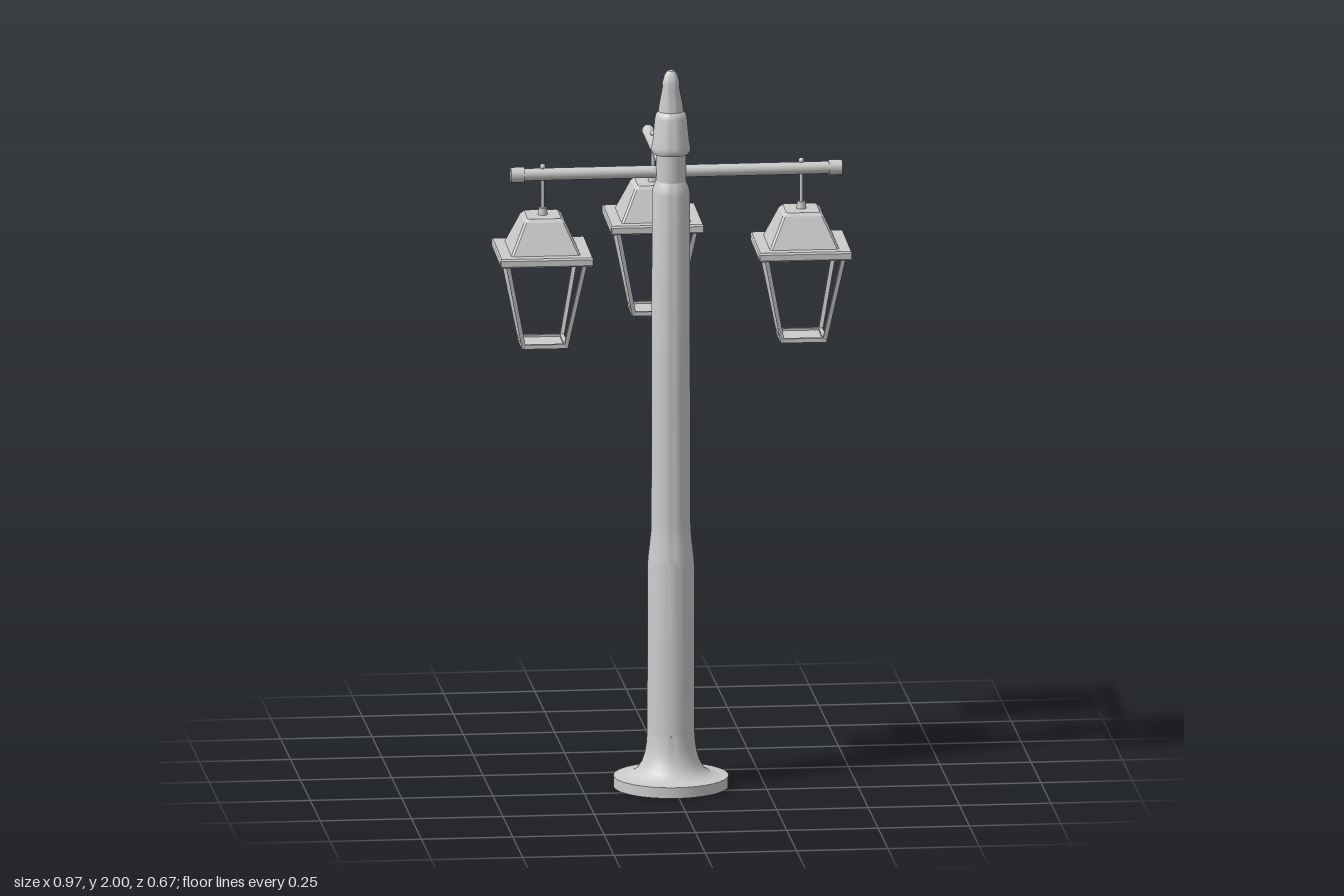
import * as THREE from 'three';
import { toCreasedNormals } from 'three/addons/utils/BufferGeometryUtils.js';

const material = new THREE.MeshStandardMaterial({ color: 0xcccccc });
const openMaterial = new THREE.MeshStandardMaterial({ color: 0xcccccc, side: THREE.DoubleSide });
const UP = new THREE.Vector3(0, 1, 0);

function add(parent, name, geometry, x = 0, y = 0, z = 0, mat = material) {
  const mesh = new THREE.Mesh(geometry, mat);
  mesh.name = name;
  mesh.position.set(x, y, z);
  parent.add(mesh);
  return mesh;
}

function lathe(profile, segments = 40) {
  const points = profile.map(([r, y]) => new THREE.Vector2(r, y));
  return toCreasedNormals(new THREE.LatheGeometry(points, segments), 0.6);
}

// Round or square bar between two points
function rod(parent, name, a, b, radius, sides = 20) {
  const from = new THREE.Vector3(...a), to = new THREE.Vector3(...b);
  const dir = to.clone().sub(from);
  let geometry = new THREE.CylinderGeometry(radius, radius, dir.length(), sides);
  if (sides === 4) {
    geometry.rotateY(Math.PI / 4);
    geometry = toCreasedNormals(geometry, 0.5);
  }
  const mesh = add(parent, name, geometry, ...from.clone().add(to).multiplyScalar(0.5).toArray());
  mesh.quaternion.setFromUnitVectors(UP, dir.normalize());
}

// Solid through rectangular sections [y, width, depth], bottom to top, with chamfered corners
function loft(sections, c) {
  const pos = [], index = [], top = (sections.length - 1) * 8;
  for (const [y, w, d] of sections) {
    const a = w / 2, b = d / 2;
    for (const [x, z] of [[a, b - c], [a - c, b], [c - a, b], [-a, b - c],
      [-a, c - b], [c - a, -b], [a - c, -b], [a, c - b]]) pos.push(x, y, z);
  }
  for (let s = 0; s < top; s += 8) {
    for (let i = 0; i < 8; i++) {
      const p = s + i, q = s + (i + 1) % 8;
      index.push(p, p + 8, q, q, p + 8, q + 8);
    }
  }
  for (let i = 1; i < 7; i++) {
    index.push(0, i, i + 1);
    index.push(top, top + i + 1, top + i);
  }
  const indexed = new THREE.BufferGeometry();
  indexed.setAttribute('position', new THREE.Float32BufferAttribute(pos, 3));
  indexed.setIndex(index);
  const geometry = indexed.toNonIndexed();
  geometry.computeVertexNormals();
  return geometry;
}

function createLantern() {
  const lantern = new THREE.Group();

  // Hanger
  rod(lantern, 'hangerRod', [0, 1.6, 0], [0, 1.735, 0], 0.005, 12);
  add(lantern, 'hangerBall', new THREE.SphereGeometry(0.008, 16, 10), 0, 1.735, 0);
  add(lantern, 'roofKnob', new THREE.CylinderGeometry(0.011, 0.014, 0.022, 16), 0, 1.61, 0);

  // Hood and eaves
  add(lantern, 'roof', loft([[1.505, 0.192, 0.205], [1.593, 0.112, 0.13], [1.602, 0.092, 0.115]], 0.006));
  add(lantern, 'eaves', loft([[1.483, 0.25, 0.264], [1.487, 0.254, 0.27],
    [1.503, 0.254, 0.27], [1.508, 0.248, 0.262]], 0.002));

  // Tapered open cage
  const top = [0.105, 0.111], low = [0.058, 0.062], corners = [[1, 1], [-1, 1], [-1, -1], [1, -1]];
  corners.forEach(([sx, sz], i) => {
    const [nx, nz] = corners[(i + 1) % 4];
    rod(lantern, 'cagePost', [sx * low[0], 1.247, sz * low[1]], [sx * top[0], 1.486, sz * top[1]], 0.008, 4);
    rod(lantern, 'cageBottomRail', [sx * low[0], 1.247, sz * low[1]], [nx * low[0], 1.247, nz * low[1]], 0.008, 4);
  });
  add(lantern, 'cageFloor', new THREE.BoxGeometry(0.126, 0.006, 0.134), 0, 1.244, 0);

  lantern.rotation.y = -0.015;
  return lantern;
}

export function createModel() {
  const model = new THREE.Group();
  model.name = 'streetLamp';
  const px = -0.005, pz = 0.177;

  // Post: hollow flared foot, stepped shaft, neck and finial
  add(model, 'foot', lathe([[0.14, 0], [0.157, 0], [0.157, 0.03], [0.13, 0.031], [0.108, 0.037], [0.091, 0.05],
    [0.079, 0.07], [0.071, 0.095], [0.067, 0.12], [0.065, 0.15]], 48), px, 0, pz, openMaterial);
  add(model, 'lowerShaft', lathe([[0.065, 0.15], [0.064, 0.62], [0.062, 0.645], [0.058, 0.68],
    [0.055, 0.71], [0.054, 0.74]]), px, 0, pz, openMaterial);
  add(model, 'upperShaft', lathe([[0.054, 0.74], [0.053, 1.1], [0.052, 1.655], [0.049, 1.672], [0.041, 1.69]]),
    px, 0, pz, openMaterial);
  add(model, 'neck', new THREE.CylinderGeometry(0.041, 0.041, 0.1, 40), px, 1.73, pz);
  add(model, 'finial', lathe([[0.038, 1.765], [0.048, 1.766], [0.053, 1.774], [0.053, 1.786], [0.05, 1.8],
    [0.044, 1.865], [0.041, 1.877], [0.034, 1.884], [0.033, 1.9], [0.023, 1.953], [0.024, 1.962],
    [0.018, 1.985], [0.01, 1.997], [0, 2]]), px, 0, pz);

  // Cross arms
  const armY = 1.714;
  rod(model, 'sideArms', [-0.43, armY, 0.168], [0.455, armY, 0.168], 0.017);
  rod(model, 'leftArmCap', [0.427, armY, 0.168], [0.464, armY, 0.168], 0.021);
  rod(model, 'rightArmCap', [-0.443, armY, 0.168], [-0.406, armY, 0.168], 0.021);
  rod(model, 'backArm', [-0.015, armY, 0.17], [-0.013, armY, -0.328], 0.017);

  // Hanging lanterns
  for (const [name, x, z] of [['leftLantern', 0.353, 0.167], ['rightLantern', -0.355, 0.167],
    ['backLantern', -0.013, -0.202]]) {
    const lantern = createLantern();
    lantern.name = name;
    lantern.position.set(x, 0, z);
    model.add(lantern);
  }
  return model;
}
